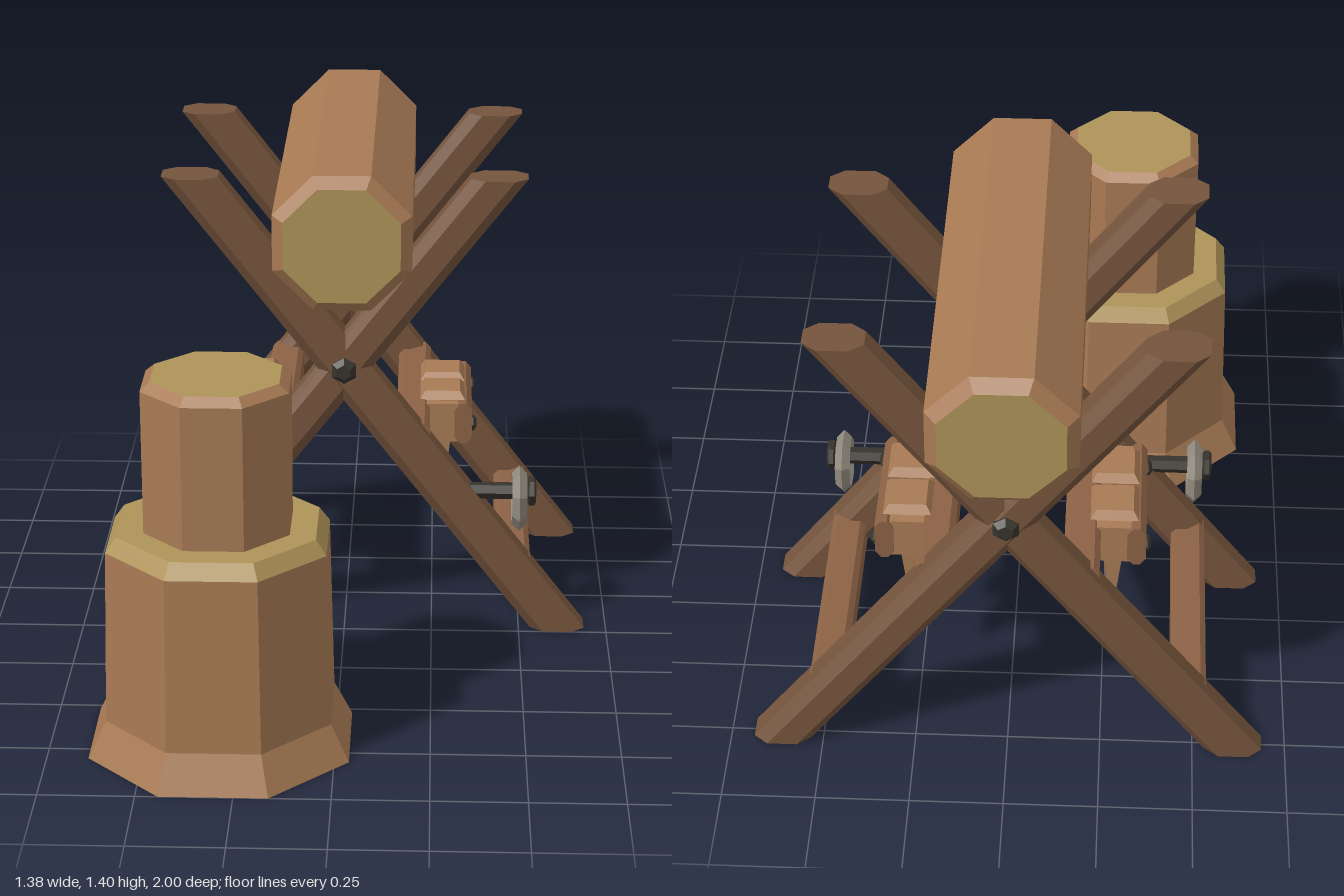
import * as THREE from 'three';

const mat = (name, color) => {
  const m = new THREE.MeshStandardMaterial({ color });
  m.name = name;
  return m;
};

export function createModel() {
  const root = new THREE.Group();
  root.name = 'sawhorseSet';
  const bark = mat('bark', 0xa87a54);
  const beamWood = mat('beamWood', 0x75543c);
  const railWood = mat('railWood', 0x8c6245);
  const cutWood = mat('cutWood', 0xae9358);
  const iron = mat('darkIron', 0x37332c);
  const steel = mat('greySteel', 0x8f897d);

  // Faceted normals for every part
  const facet = (g) => {
    const f = g.index ? g.toNonIndexed() : g;
    f.computeVertexNormals();
    return f;
  };
  const add = (parent, name, geo, material, x = 0, y = 0, z = 0) => {
    const m = new THREE.Mesh(facet(geo), material);
    m.name = name;
    m.position.set(x, y, z);
    parent.add(m);
    return m;
  };
  const group = (parent, name) => {
    const g = new THREE.Group();
    g.name = name;
    parent.add(g);
    return g;
  };

  // Eight-sided turned shape; profile is [apothem, height], bottom to top
  const octagon = (profile) => new THREE.LatheGeometry(
    profile.map(([a, y]) => new THREE.Vector2(a / Math.cos(Math.PI / 8), y)), 8, Math.PI / 8);
  const hexagon = (profile) => new THREE.LatheGeometry(
    profile.map(([r, y]) => new THREE.Vector2(r, y)), 6);

  // Bar along z, centred, with chamfered long edges
  const bar = (w, h, len, cx, cy = cx) => {
    const a = w / 2, b = h / 2;
    const s = new THREE.Shape([
      [a - cx, -b], [a, -b + cy], [a, b - cy], [a - cx, b],
      [-a + cx, b], [-a, b - cy], [-a, -b + cy], [-a + cx, -b],
    ].map(([x, y]) => new THREE.Vector2(x, y)));
    const g = new THREE.ExtrudeGeometry(s, { depth: len, bevelEnabled: false });
    return g.translate(0, 0, -len / 2);
  };

  // Box standing on y = 0 whose bottom and top differ in size
  const taperBox = (w0, d0, w1, d1, h) => {
    const g = new THREE.BoxGeometry(1, h, 1).translate(0, h / 2, 0);
    const p = g.attributes.position;
    for (let i = 0; i < p.count; i++) {
      const top = p.getY(i) > h / 2;
      p.setX(i, p.getX(i) * (top ? w1 : w0));
      p.setZ(i, p.getZ(i) * (top ? d1 : d0));
    }
    return g;
  };

  // Leaning beam with level cut ends
  const H = 1.335;
  const beam = (dir, depth) => {
    const g = bar(0.155, depth, H, 0.037, 0.03).rotateX(-Math.PI / 2).translate(0, H / 2, 0);
    const p = g.attributes.position;
    for (let i = 0; i < p.count; i++) {
      p.setX(i, p.getX(i) + dir * (0.61 - 0.773 * p.getY(i)));
    }
    return g;
  };

  // Crossed frames with a bolt through each
  const horse = group(root, 'sawhorse');
  for (const [label, z] of [['front', -0.0625], ['back', -0.7425]]) {
    const f = group(horse, label + 'Frame');
    f.position.z = z;
    add(f, 'rightFootBeam', beam(-1, 0.114), beamWood);
    add(f, 'leftFootBeam', beam(1, 0.125), beamWood);
    add(f, 'crossBolt', hexagon([[0, -0.082], [0.022, -0.082], [0.038, -0.066],
      [0.038, 0.066], [0.022, 0.082], [0, 0.082]]).rotateX(Math.PI / 2), iron, 0, 0.79, 0);
  }

  // Rails, wedge rack and hanging ring on each side
  for (const side of [1, -1]) {
    const s = group(horse, side > 0 ? 'leftSide' : 'rightSide');
    if (side < 0) s.rotation.y = Math.PI;
    const zz = (z) => z * side;
    add(s, 'lowerRail', bar(0.095, 0.105, 0.68, 0.015), railWood, 0.483, 0.167, zz(-0.4025));
    add(s, 'upperRail', bar(0.095, 0.125, 0.68, 0.015), railWood, 0.192, 0.548, zz(-0.4025));

    const rack = group(s, 'wedgeRack');
    rack.position.z = zz(-0.4025);
    add(rack, 'outerBar', bar(0.05, 0.122, 0.36, 0.016, 0.02), railWood, 0.335, 0.549, 0);
    for (const e of [-1, 1]) {
      add(rack, 'endBlock', new THREE.BoxGeometry(0.1, 0.115, 0.03), bark, 0.27, 0.549, e * 0.158);
      add(rack, 'rackBolt', hexagon([[0, 0], [0.023, 0], [0.023, 0.008], [0.012, 0.016], [0, 0.016]])
        .rotateZ(-Math.PI / 2), iron, 0.357, 0.545, e * 0.158);
      const wedge = group(rack, 'wedge');
      wedge.position.z = e * 0.077;
      add(wedge, 'wedgeBlade', taperBox(0.016, 0.078, 0.085, 0.092, 0.305), bark, 0.272, 0.305, 0);
      add(wedge, 'wedgeHead', taperBox(0.13, 0.14, 0.1, 0.105, 0.022), bark, 0.275, 0.609, 0);
    }

    const hook = group(s, 'ringHook');
    hook.position.set(0, 0.41, zz(-0.0625));
    add(hook, 'peg', hexagon([[0.024, 0.29], [0.024, 0.525]]).rotateZ(-Math.PI / 2), iron);
    add(hook, 'pegHead', hexagon([[0, 0.517], [0.034, 0.517], [0.042, 0.523], [0.042, 0.536],
      [0.034, 0.542], [0, 0.542]]).rotateZ(-Math.PI / 2), iron);
    add(hook, 'ring', new THREE.TorusGeometry(0.072, 0.021, 4, 8)
      .rotateZ(Math.PI / 8).rotateY(Math.PI / 2), steel, 0.495, -0.023, 0);
  }

  // Log resting in the crossed frames
  const log = group(root, 'restingLog');
  log.position.set(0, 1.2125, -0.4);
  log.rotation.x = Math.PI / 2;
  add(log, 'logBark', octagon([[0.157, -0.6], [0.187, -0.57], [0.187, 0.57], [0.157, 0.6]]), bark);
  add(log, 'logBackEnd', octagon([[0, -0.6], [0.157, -0.6]]), cutWood);
  add(log, 'logFrontEnd', octagon([[0.157, 0.6], [0, 0.6]]), cutWood);

  // Stump with a shorter log standing on it
  const stump = group(root, 'choppingStump');
  stump.position.set(-0.301, 0, 0.66);
  add(stump, 'stumpBark', octagon([[0, 0], [0.34, 0], [0.293, 0.1], [0.282, 0.575]]), bark);
  add(stump, 'stumpTop', octagon([[0.282, 0.575], [0.255, 0.615], [0, 0.615]]), cutWood);
  add(stump, 'uprightLog', octagon([[0.187, 0.61], [0.187, 1.0], [0.163, 1.022]]), bark);
  add(stump, 'uprightLogEnd', octagon([[0.163, 1.022], [0, 1.022]]), cutWood);

  return root;
}
